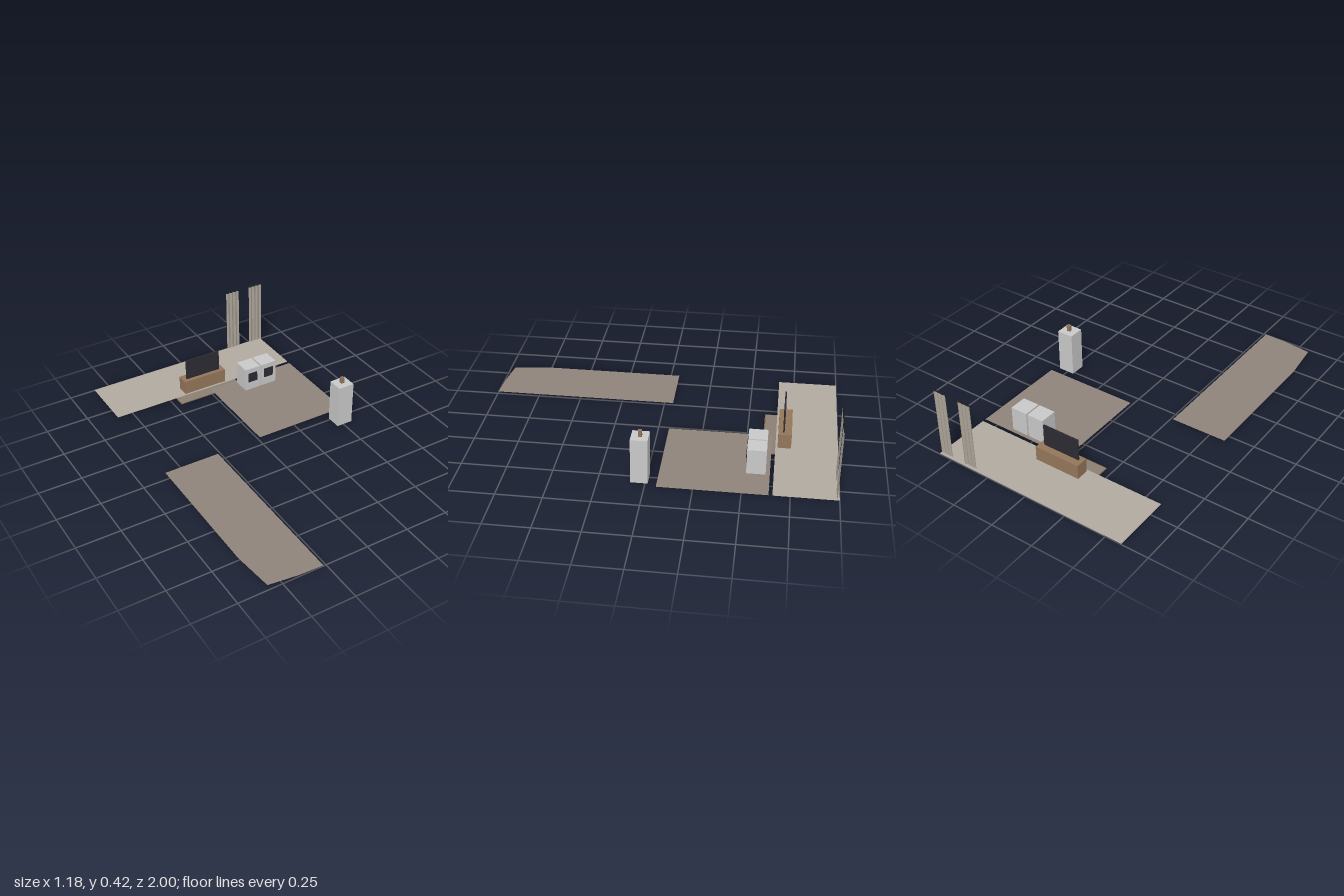
import * as THREE from 'three';

const mat = (name, color, side = THREE.FrontSide) => {
  const m = new THREE.MeshStandardMaterial({ color, side });
  m.name = name;
  return m;
};

export function createModel() {
  const root = new THREE.Group();
  root.name = 'apartmentLayout';

  const terraceMat = mat('pale stone', 0xb0aaa0, THREE.DoubleSide);
  const floorMat = mat('taupe floor', 0x8f847a, THREE.DoubleSide);
  const rugEdgeMat = mat('rug edge brown', 0x7a6453);
  const rugMat = mat('rug pile', 0x8c7f74);
  const woodMat = mat('wood', 0x94765a);
  const darkMat = mat('dark glass', 0x2c2b34);
  const whiteMat = mat('appliance grey', 0xc9c9ca);
  const curtainMat = mat('curtain cloth', 0xa8a196, THREE.DoubleSide);
  const rodMat = mat('rod black', 0x1c1c1e);

  const add = (name, geometry, material, parent = root) => {
    const mesh = new THREE.Mesh(geometry, material);
    mesh.name = name;
    parent.add(mesh);
    return mesh;
  };
  // Box given by its minimum and maximum on each axis
  const box = (name, [x0, x1], [y0, y1], [z0, z1], material, parent) => {
    const g = new THREE.BoxGeometry(x1 - x0, y1 - y0, z1 - z0);
    g.translate((x0 + x1) / 2, (y0 + y1) / 2, (z0 + z1) / 2);
    return add(name, g, material, parent);
  };
  // Flat floor sheet from an outline of [x, z] corners
  const sheet = (name, outline, material) => {
    const shape = new THREE.Shape(outline.map(([x, z]) => new THREE.Vector2(x, -z)));
    const g = new THREE.ShapeGeometry(shape).rotateX(-Math.PI / 2);
    g.translate(0, 0.004, 0);
    return add(name, g, material);
  };

  // Floors
  sheet('terraceFloor', [[-0.595, -0.66], [0.585, -0.66], [0.585, -1], [-0.595, -1]], terraceMat);
  sheet('roomFloor', [[0.015, -0.06], [0.585, -0.06], [0.585, -0.64], [0.015, -0.64]], floorMat);
  sheet('sideFloor', [[-0.595, -0.05], [-0.595, 0.74], [-0.57, 0.973], [-0.4, 0.995],
    [-0.265, 1], [-0.265, -0.05]], floorMat);

  // Rugs: dark base with a slightly inset pile
  const rug = (name, [x0, x1], [z0, z1]) => {
    const g = new THREE.Group();
    g.name = name;
    root.add(g);
    box('rugBase', [x0, x1], [0, 0.002], [z0, z1], rugEdgeMat, g);
    box('rugPile', [x0 + 0.005, x1 - 0.005], [0.002, 0.003], [z0 + 0.005, z1 - 0.005], rugMat, g);
  };
  rug('loungeRug', [-0.21, 0.2], [-0.89, -0.59]);
  rug('sideRug', [-0.55, -0.31], [0.05, 0.9]);

  // Television on its cabinet
  box('televisionCabinet', [-0.14, 0.135], [0, 0.088], [-0.745, -0.672], woodMat);
  box('televisionScreen', [-0.115, 0.109], [0.088, 0.217], [-0.705, -0.697], darkMat);

  // Pair of appliances with square windows
  [0.19, 0.301].forEach((x, i) => {
    const g = new THREE.Group();
    g.name = 'appliance' + (i + 1);
    root.add(g);
    box('applianceBody', [x, x + 0.101], [0, 0.149], [-0.618, -0.515], whiteMat, g);
    box('applianceWindow', [x + 0.02, x + 0.08], [0.058, 0.118], [-0.515, -0.511], darkMat, g);
  });

  // Tall stand with a small wooden top piece
  box('tallStand', [0.46, 0.557], [0, 0.26], [-0.014, 0.077], whiteMat);
  box('standTopPiece', [0.5, 0.52], [0.26, 0.295], [0.02, 0.04], woodMat);

  // Pleated curtain: a zigzag strip raised vertically
  const curtain = (name, x0, x1, folds = 7) => {
    const g = new THREE.PlaneGeometry(x1 - x0, 0.398, folds, 1).toNonIndexed();
    const p = g.attributes.position;
    for (let i = 0; i < p.count; i++) {
      const column = Math.round((p.getX(i) / (x1 - x0) + 0.5) * folds);
      p.setZ(i, column % 2 ? 0.003 : -0.003);
    }
    g.translate((x0 + x1) / 2, 0.209, -0.987);
    g.computeVertexNormals();
    add(name, g, curtainMat);
  };
  curtain('rightCurtain', 0.333, 0.42);
  curtain('leftCurtain', 0.497, 0.584);

  // Curtain rod
  const rod = new THREE.CylinderGeometry(0.0035, 0.0035, 0.257, 10).rotateZ(Math.PI / 2);
  add('curtainRod', rod, rodMat).position.set(0.4585, 0.413, -0.987);

  return root;
}
